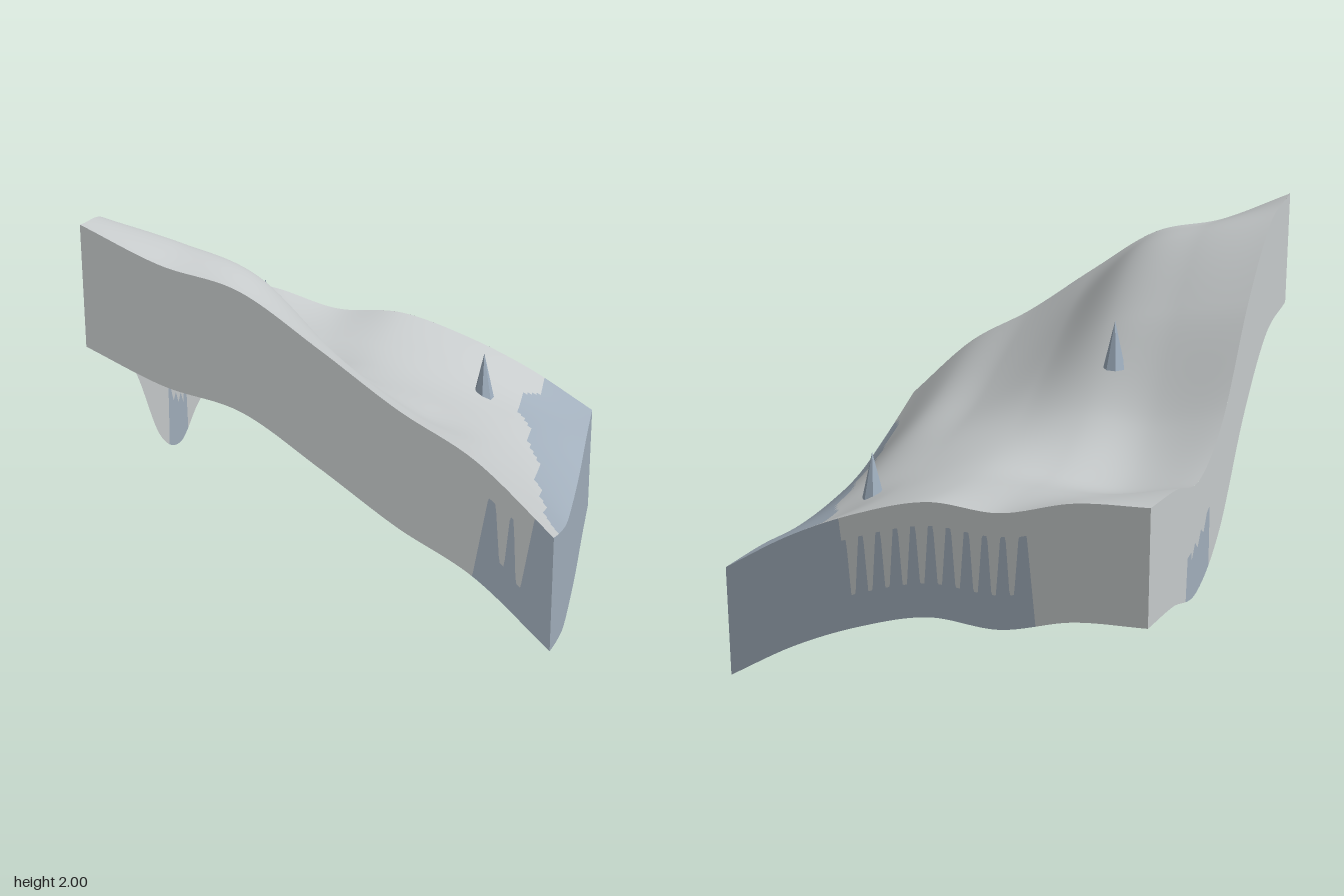
import * as THREE from 'three';

const HALF = 0.97, WALL = 0.52, N = 96;

// control heights: rows run from back (-z) to front (+z), columns from -x to +x
const HEIGHTS = [
  [1.15, 1.12, 1.03, 1.03, 0.93, 0.78, 0.58],
  [1.11, 1.04, 1.01, 0.995, 0.90, 0.725, 0.562],
  [1.04, 0.965, 0.985, 0.985, 0.895, 0.75, 0.525],
  [1.21, 1.13, 1.14, 1.055, 0.945, 0.80, 0.525],
  [1.64, 1.57, 1.48, 1.22, 1.02, 0.88, 0.56],
  [1.93, 1.845, 1.72, 1.40, 1.16, 0.98, 0.665],
  [2.0, 1.85, 1.76, 1.538, 1.30, 1.10, 0.79],
];

// smooth curve through evenly spaced values, u in -HALF..HALF
function spline(v, u) {
  const last = v.length - 1;
  const s = THREE.MathUtils.clamp((u / HALF + 1) / 2, 0, 1) * last;
  const i = Math.min(Math.floor(s), last - 1), t = s - i;
  const p1 = v[i], p2 = v[i + 1];
  const p0 = i > 0 ? v[i - 1] : 2 * p1 - p2;
  const p3 = i + 2 <= last ? v[i + 2] : 2 * p2 - p1;
  return p1 + 0.5 * t * (p2 - p0 + t * (2 * p0 - 5 * p1 + 4 * p2 - p3 + t * (3 * (p1 - p2) + p3 - p0)));
}
const height = (x, z) => spline(HEIGHTS.map((row) => spline(row, x)), z);

// straight-line interpolation through [u, value] points
function polyline(points, u) {
  if (u <= points[0][0]) return points[0][1];
  for (let i = 1; i < points.length; i++) {
    const [a, va] = points[i - 1], [b, vb] = points[i];
    if (u <= b) return va + ((vb - va) * (u - a)) / (b - a);
  }
  return points[points.length - 1][1];
}

// x of the edge of the blue shore along z
const SHORE = [
  [-0.97, 0.73], [-0.82, 0.73], [-0.73, 0.65], [-0.5, 0.65], [-0.49, 0.69], [-0.42, 0.70],
  [-0.4, 0.73], [-0.2, 0.735], [-0.1, 0.78], [-0.05, 0.805], [0.22, 0.805], [0.25, 0.84],
  [0.4, 0.86], [0.43, 0.89], [0.62, 0.89], [0.66, 0.92], [0.72, 0.95], [0.74, 0.98], [0.97, 0.98],
];

// depth below the rim at which each wall turns blue
const FRONT_EDGE = [
  [0.64, WALL], [0.70, 0.11], [0.73, 0.11], [0.75, 0.35], [0.77, 0.35], [0.79, 0.10],
  [0.805, 0.10], [0.82, 0.37], [0.84, 0.37], [0.89, 0],
];
const BACK_EDGE = [[-0.485, WALL], [-0.445, 0.11], [-0.41, 0.11]];
for (let i = 0; i < 10; i++) {
  const x = -0.39 + i * 0.081;
  BACK_EDGE.push([x, 0.365], [x + 0.02, 0.365], [x + 0.038, 0.105], [x + 0.061, 0.105]);
}
BACK_EDGE.push([0.41, 0]);
const LEFT_EDGE = [
  [-0.47, WALL], [-0.46, 0.32], [-0.41, 0.30], [-0.40, 0.34], [-0.36, 0.27], [-0.32, 0.31],
  [-0.28, 0.25], [-0.24, 0.29], [-0.20, 0.23], [-0.16, 0.23], [-0.15, WALL],
];

// rolling top sheet, coloured by side of the shore line
function buildSurface(materials) {
  const pos = [], dry = [], wet = [];
  const at = (i) => -HALF + (2 * HALF * i) / N;
  for (let j = 0; j <= N; j++) {
    for (let i = 0; i <= N; i++) pos.push(at(i), height(at(i), at(j)), at(j));
  }
  for (let j = 0; j < N; j++) {
    for (let i = 0; i < N; i++) {
      const a = j * (N + 1) + i, b = a + 1, c = a + N + 1, d = c + 1;
      const list = at(i + 0.5) > polyline(SHORE, at(j + 0.5)) ? wet : dry;
      list.push(a, c, b, b, c, d);
    }
  }
  return makeMesh('groundSurface', pos, dry, wet, materials);
}

// side wall hanging from the rim, upper part grey and lower part blue
function buildWall(name, place, edge, flip, materials) {
  const pos = [], dry = [], wet = [], steps = N * 4;
  for (let i = 0; i <= steps; i++) {
    const u = -HALF + (2 * HALF * i) / steps;
    const [x, z] = place(u), top = height(x, z);
    const depth = polyline(edge, u);
    for (const y of [top, top - depth, top - WALL]) pos.push(x, y, z);
  }
  for (let i = 0; i < steps; i++) {
    for (let r = 0; r < 2; r++) {
      const a = i * 3 + r, b = a + 1, c = a + 3, d = a + 4;
      const quad = flip ? [a, c, b, b, c, d] : [a, b, c, c, b, d];
      (r ? wet : dry).push(...quad);
    }
  }
  const mesh = makeMesh(name, pos, dry, wet, materials);
  const n = mesh.geometry.attributes.normal;
  // one constant normal per flat wall
  const [x0, z0] = place(0);
  for (let i = 0; i < n.count; i++) n.setXYZ(i, Math.sign(x0), 0, Math.sign(z0));
  return mesh;
}

function makeMesh(name, pos, dry, wet, materials) {
  const geo = new THREE.BufferGeometry();
  geo.setAttribute('position', new THREE.Float32BufferAttribute(pos, 3));
  geo.setIndex([...dry, ...wet]);
  geo.addGroup(0, dry.length, 0);
  geo.addGroup(dry.length, wet.length, 1);
  geo.computeVertexNormals();
  const mesh = new THREE.Mesh(geo, materials);
  mesh.name = name;
  return mesh;
}

export function createModel() {
  const model = new THREE.Group();
  model.name = 'terrainTile';
  const grey = new THREE.MeshStandardMaterial({ color: 0xc6cacb, side: THREE.DoubleSide });
  grey.name = 'paleGrey';
  const blue = new THREE.MeshStandardMaterial({ color: 0xa1aebb, side: THREE.DoubleSide });
  blue.name = 'slateBlue';
  const spikeBlue = new THREE.MeshStandardMaterial({ color: 0xa0b0c0, flatShading: true });
  spikeBlue.name = 'spikeBlue';
  const ground = [grey, blue];

  model.add(buildSurface(ground));
  model.add(buildWall('frontWall', (u) => [u, HALF], FRONT_EDGE, false, ground));
  model.add(buildWall('backWall', (u) => [u, -HALF], BACK_EDGE, true, ground));
  model.add(buildWall('rightWall', (u) => [HALF, u], [[0, 0]], true, ground));
  model.add(buildWall('leftWall', (u) => [-HALF, u], LEFT_EDGE, false, ground));

  // two faceted spikes standing on the slope
  const spikeGeo = new THREE.ConeGeometry(0.05, 0.22, 7);
  [[0.485, 0.80, -0.49], [-0.41, 1.325, 0.16]].forEach(([x, y, z], i) => {
    const spike = new THREE.Mesh(spikeGeo, spikeBlue);
    spike.name = i ? 'upperSpike' : 'lowerSpike';
    spike.position.set(x, y + 0.11, z);
    model.add(spike);
  });
  return model;
}
